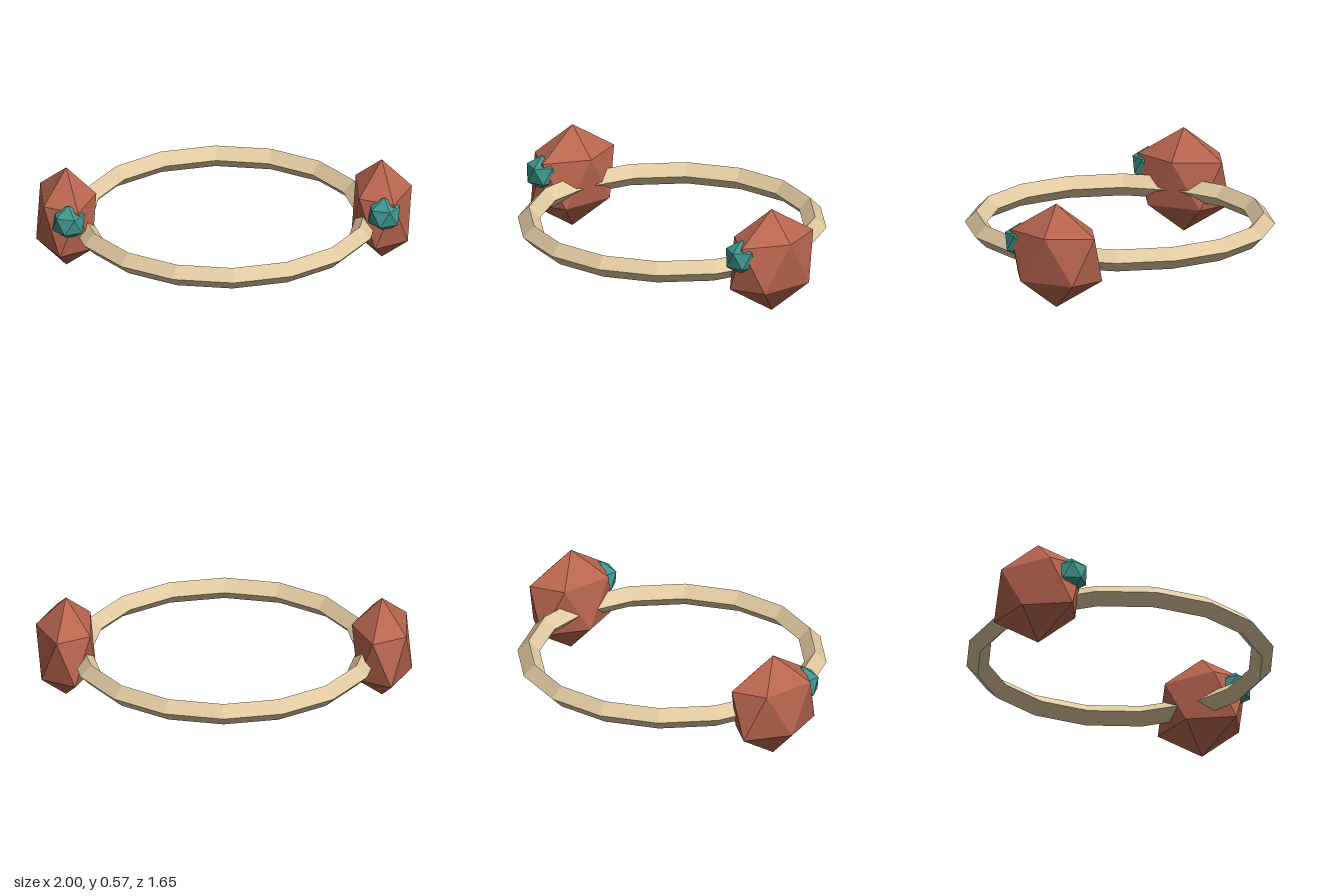
import * as THREE from 'three';

const material = (color) => new THREE.MeshStandardMaterial({ color, flatShading: true });

// Icosahedron standing on a point, with an upper-ring corner towards +x
function gem(rx, ry, rz) {
  const geometry = new THREE.IcosahedronGeometry(1, 0);
  geometry.rotateX(-Math.atan((1 + Math.sqrt(5)) / 2));
  geometry.rotateY(Math.PI / 2);
  geometry.scale(rx, ry, rz);
  return geometry;
}

export function createModel() {
  const group = new THREE.Group();

  // Flat-lying hoop with a diamond section
  const hoopGeometry = new THREE.TorusGeometry(0.765, 0.06, 4, 16);
  hoopGeometry.rotateX(Math.PI / 2);
  const hoop = new THREE.Mesh(hoopGeometry, material(0xe0c9a0));
  hoop.name = 'hoop';
  hoop.position.y = 0.257;
  group.add(hoop);

  // A large faceted pod on each side, with a small stud on its front
  const podGeometry = gem(0.179, 0.285, 0.288);
  const studGeometry = gem(0.096, 0.0975, 0.093);
  const podMaterial = material(0xb8654f);
  const studMaterial = material(0x3f968e);
  for (const [side, x] of [['left', 0.84], ['right', -0.84]]) {
    const pod = new THREE.Mesh(podGeometry, podMaterial);
    pod.name = side + 'Pod';
    pod.position.set(x, 0.287, 0);
    const stud = new THREE.Mesh(studGeometry, studMaterial);
    stud.name = side + 'Stud';
    stud.position.set(x, 0.347, 0.207);
    group.add(pod, stud);
  }

  return group;
}
